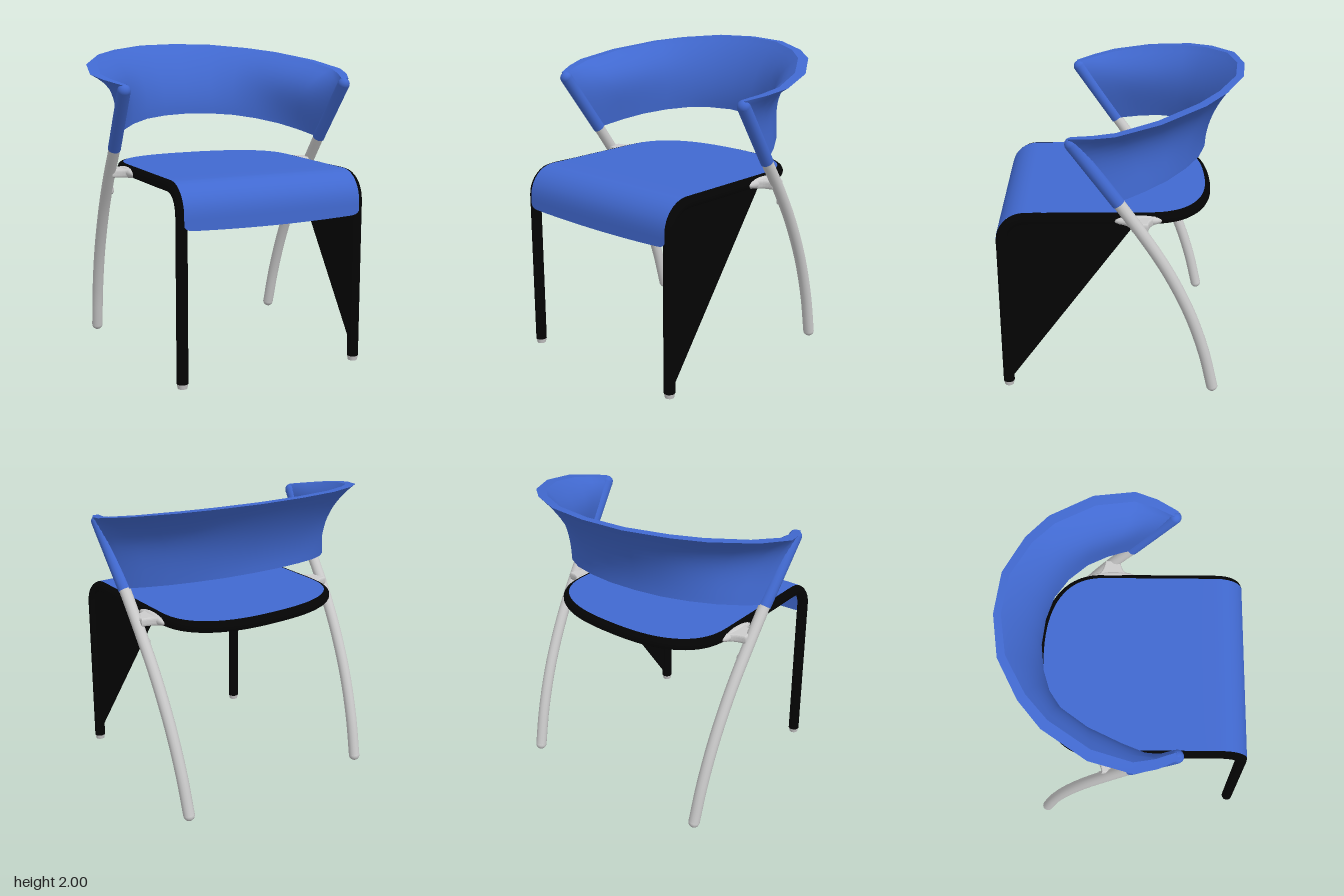
import * as THREE from 'three';

const material = (color) => new THREE.MeshStandardMaterial({ color, side: THREE.DoubleSide });
const V = (x, y, z) => new THREE.Vector3(x, y, z);
const mix = THREE.MathUtils.lerp;

export function createModel() {
  const model = new THREE.Group();
  const blue = material(0x4169d0), black = material(0x040404), grey = material(0xcccccc);

  function add(name, geometry, mat, parent = model) {
    const mesh = new THREE.Mesh(geometry, mat);
    mesh.name = name;
    parent.add(mesh);
    return mesh;
  }

  // Smooth surface from a rule (u, v) -> point
  function sheet(fn, nu, nv) {
    const pos = [], index = [];
    for (let j = 0; j <= nv; j++)
      for (let i = 0; i <= nu; i++) pos.push(...fn(i / nu, j / nv).toArray());
    for (let j = 0; j < nv; j++)
      for (let i = 0; i < nu; i++) {
        const a = j * (nu + 1) + i, b = a + nu + 1;
        index.push(a, a + 1, b, a + 1, b + 1, b);
      }
    const g = new THREE.BufferGeometry();
    g.setAttribute('position', new THREE.Float32BufferAttribute(pos, 3));
    g.setIndex(index);
    g.computeVertexNormals();
    return g;
  }

  const tube = (points, segments, radius) =>
    new THREE.TubeGeometry(new THREE.CatmullRomCurve3(points), segments, radius, 14);

  const ball = (name, p, r, mat, parent) => {
    const mesh = add(name, new THREE.SphereGeometry(r, 14, 10), mat, parent);
    mesh.position.copy(p);
    return mesh;
  };

  // Rounded back outline shared by the frame and the seat
  const backZ = (u) => -0.15 - 0.4 * Math.pow(Math.max(0, 1 - Math.pow(Math.abs(u), 2.5)), 1 / 2.5);

  // Black frame: front leg, bend, side rail, round back, then mirrored
  const side = [V(0.6, 0.03, 0.74), V(0.6, 0.35, 0.74), V(0.6, 0.7, 0.74), V(0.6, 0.98, 0.74)];
  for (let i = 0; i <= 5; i++) {
    const a = (i / 5) * Math.PI / 2;
    side.push(V(0.6, 1.05 + 0.15 * Math.sin(a), 0.59 + 0.15 * Math.cos(a)));
  }
  side.push(V(0.6, 1.2, 0.35), V(0.6, 1.2, 0.1));
  for (let i = 0; i < 8; i++) {
    const u = Math.cos((i / 8) * Math.PI / 2);
    side.push(V(0.6 * u, 1.2, backZ(u)));
  }
  const mirrored = side.map((p) => V(-p.x, p.y, p.z)).reverse();
  add('seatFrame', tube([...side, V(0, 1.2, -0.55), ...mirrored], 220, 0.036), black);

  // Seat: front lip with rounded lower corners, rolled edge, flat top
  add('seat', sheet((u, v) => {
    const s = Math.sin((u - 0.5) * Math.PI), x = 0.598 * s;
    const lip = 0.95 + 0.015 * s * s + 0.025 * Math.pow(Math.abs(s), 40);
    if (v < 0.15) return V(x, mix(lip, 1.05, v / 0.15), 0.777);
    if (v <= 0.5) {
      const a = ((v - 0.15) / 0.35) * Math.PI / 2;
      return V(x, 1.05 + 0.187 * Math.sin(a), 0.59 + 0.187 * Math.cos(a));
    }
    return V(x, 1.237, mix(0.59, backZ(s), (v - 0.5) / 0.5));
  }, 40, 20), blue);

  // Triangular panel on the left side only
  const tri = new THREE.Shape([[-0.73, 0.04], [0.1, 1.19], [-0.6, 1.19], [-0.68, 1.16], [-0.73, 1.05]]
    .map(([x, y]) => new THREE.Vector2(x, y)));
  const panel = add('sidePanel', new THREE.ShapeGeometry(tri), black);
  panel.rotation.y = Math.PI / 2;
  panel.position.x = 0.61;

  // Parts that repeat on both sides
  for (const s of [1, -1]) {
    const group = new THREE.Group();
    group.name = s > 0 ? 'leftSupport' : 'rightSupport';
    model.add(group);

    const foot = add('frontFoot', new THREE.CylinderGeometry(0.036, 0.029, 0.032, 14), grey, group);
    foot.position.set(s * 0.6, 0.016, 0.74);

    // Rear leg: straight under the arm, then bending down to the floor
    add('rearLeg', tube([
      V(s * 0.75, 1.38, 0.03), V(s * 0.742, 1.15, -0.127), V(s * 0.73, 0.9, -0.278),
      V(s * 0.716, 0.6, -0.42), V(s * 0.702, 0.3, -0.522), V(s * 0.69, 0.035, -0.585)], 48, 0.037), grey, group);
    ball('rearFoot', V(s * 0.69, 0.037, -0.585), 0.037, grey, group);

    // Blue sleeve on the arm end
    add('armSleeve', tube([V(s * 0.75, 1.365, 0.02), V(s * 0.776, 1.75, 0.29)], 4, 0.041), blue, group);
    ball('armCap', V(s * 0.776, 1.75, 0.29), 0.041, blue, group);

    // Flared bracket between frame and leg, with a rounded pad on the frame
    const plan = new THREE.Shape();
    plan.moveTo(0.61, -0.03);
    plan.quadraticCurveTo(0.64, 0.06, 0.73, 0.065);
    plan.lineTo(0.73, 0.15);
    plan.quadraticCurveTo(0.65, 0.16, 0.61, 0.22);
    const bracket = add('bracket', new THREE.ExtrudeGeometry(plan, {
      depth: 0.014, bevelThickness: 0.02, bevelSize: 0.01, bevelSegments: 4, curveSegments: 8,
    }), grey, group);
    bracket.rotation.x = -Math.PI / 2;
    bracket.position.y = 1.188;
    bracket.scale.x = s;
    ball('bracketPad', V(s * 0.63, 1.196, -0.1), 1, grey, group).scale.set(0.032, 0.034, 0.148);
    ball('boltHead', V(s * 0.706, 1.07, -0.17), 0.015, grey, group).scale.y = 1.8;
  }

  // Backrest: flared band between a lower and an upper curve
  const curve = (half, height) => {
    const pts = half.map(([x, z]) => V(x, height(z), z));
    const other = pts.slice(1).reverse().map((p) => V(-p.x, p.y, p.z));
    return new THREE.CatmullRomCurve3([...other, ...pts]);
  };
  const top = curve([[0, -0.78], [0.27, -0.745], [0.515, -0.62], [0.675, -0.485], [0.845, -0.22],
    [0.905, 0.04], [0.867, 0.18], [0.8, 0.31]], (z) => 1.785 + 0.195 * (0.32 - z));
  const bottom = curve([[0, -0.55], [0.18, -0.53], [0.34, -0.48], [0.48, -0.39], [0.6, -0.27],
    [0.68, -0.14], [0.72, -0.05], [0.745, 0.015]], (z) => 1.515 - 0.25 * (z + 0.55));
  function wall(u, v, depth) {
    const a = bottom.getPoint(u), b = top.getPoint(u), t = Math.abs(2 * u - 1);
    // The sideways flare comes late near the arms and is straight at the sleeves
    const late = Math.sin(Math.PI * Math.pow(t, 1.5));
    const fx = mix(Math.pow(v, 2 + 2.3 * late), v, Math.pow(t, 10));
    const fz = mix(v * v, v, t * t);
    const p = V(mix(a.x, b.x, fx), mix(a.y, b.y, v), mix(a.z, b.z, fz));
    const inward = V(-p.x, 0, -p.z).normalize();
    return p.addScaledVector(inward, depth * (0.012 + 0.033 * v + 0.025 * late * v * v));
  }
  const backrest = new THREE.Group();
  backrest.name = 'backrest';
  model.add(backrest);
  add('backrestOuter', sheet((u, v) => wall(u, v, 0), 14, 14), blue, backrest);
  add('backrestInner', sheet((u, v) => wall(u, v, 1), 14, 14), blue, backrest);
  add('backrestTopRim', sheet((u, v) => wall(u, 1, v), 14, 1), blue, backrest);
  add('backrestLowerRim', sheet((u, v) => wall(u, 0, v), 14, 1), blue, backrest);
  for (const end of [0, 1])
    add('backrestEnd', sheet((u, v) => wall(end, u, v), 14, 1), blue, backrest);

  return model;
}
